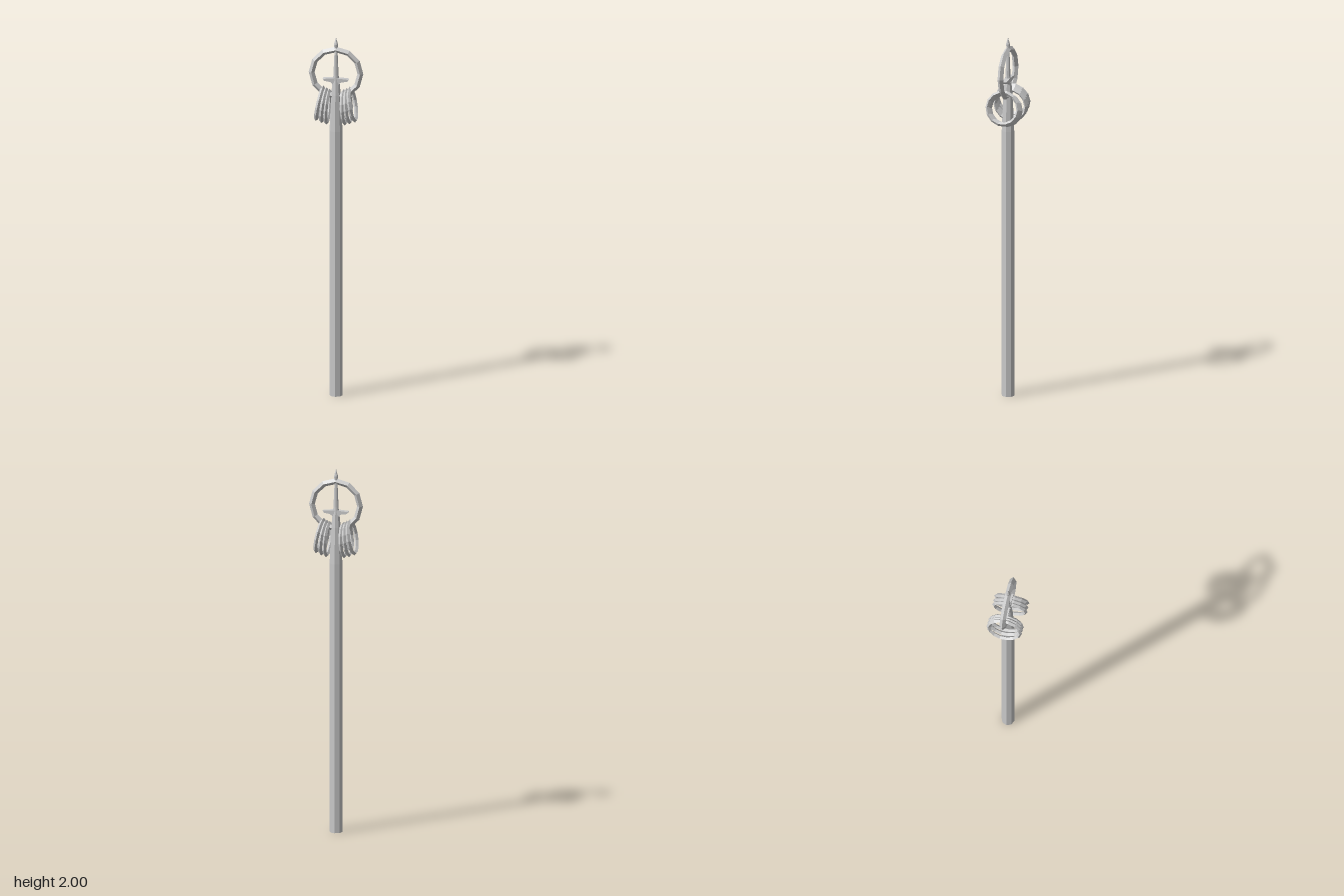
import * as THREE from 'three';

const mat = new THREE.MeshStandardMaterial({ color: 0xcccccc, flatShading: true });

function add(parent, name, geometry) {
  const mesh = new THREE.Mesh(geometry, mat);
  mesh.name = name;
  parent.add(mesh);
  return mesh;
}

function turned(points) {
  return new THREE.LatheGeometry(points.map(([r, y]) => new THREE.Vector2(r, y)), 8);
}

export function createModel() {
  const staff = new THREE.Group();
  staff.name = 'ringedStaff';

  // Octagonal pole, tapering towards the head
  add(staff, 'shaft', turned([[0, 0], [0.035, 0], [0.035, 1.48], [0.026, 1.68], [0.019, 1.75], [0, 1.75]]));

  // Slim spire with a pointed tip
  add(staff, 'spire', turned([[0.019, 1.74], [0.014, 1.79], [0.008, 1.93], [0.011, 1.96], [0, 2]]));

  // Large head ring with a diamond section
  add(staff, 'headRing', new THREE.TorusGeometry(0.131, 0.016, 4, 12)).position.y = 1.8;

  // Small crossbar with tapering arms
  const outline = new THREE.Shape([
    [-0.07, 1.768], [-0.062, 1.757], [-0.03, 1.752], [-0.015, 1.74],
    [0.015, 1.74], [0.03, 1.752], [0.062, 1.757], [0.07, 1.768],
    [0.02, 1.772], [-0.02, 1.772],
  ].map(([x, y]) => new THREE.Vector2(x, y)));
  const bar = new THREE.ExtrudeGeometry(outline, { depth: 0.028, bevelEnabled: false });
  bar.translate(0, 0, -0.014);
  add(staff, 'crossbar', bar);

  // Three loose rings hanging on each side, splayed outwards
  const hanging = [[0.044, 1.61, 0.06], [0.065, 1.617, 0.12], [0.088, 1.627, 0.19]];
  for (const side of [-1, 1]) {
    for (const [x, y, tilt] of hanging) {
      const geometry = new THREE.TorusGeometry(0.086, 0.011, 4, 14).rotateY(Math.PI / 2);
      const ring = add(staff, side > 0 ? 'leftHangingRing' : 'rightHangingRing', geometry);
      ring.position.set(side * x, y, 0);
      ring.rotation.z = side * tilt;
    }
  }
  return staff;
}
